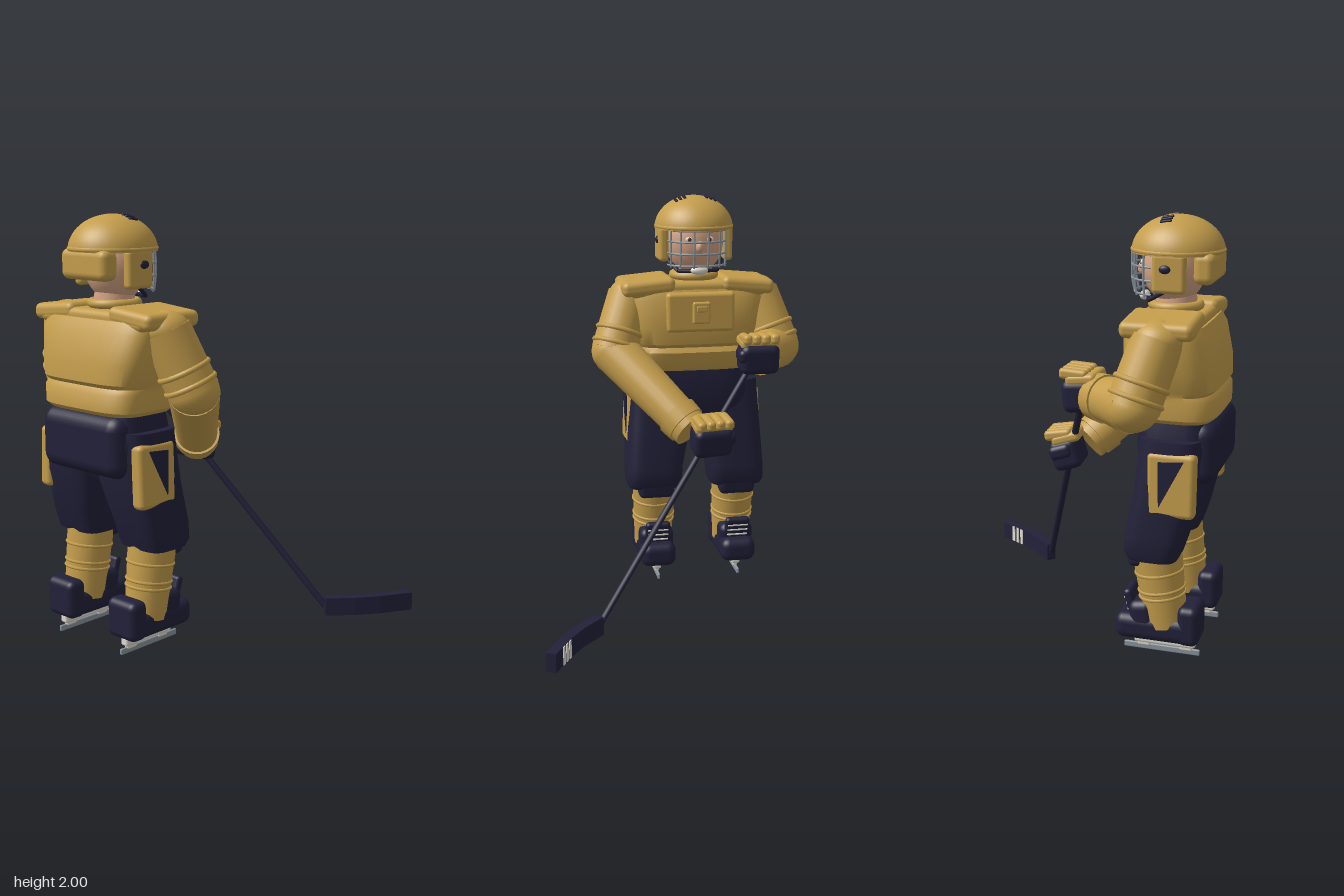
import * as THREE from 'three';
import { toCreasedNormals } from 'three/addons/utils/BufferGeometryUtils.js';
import { RoundedBoxGeometry } from 'three/addons/geometries/RoundedBoxGeometry.js';

const V = (x, y, z) => new THREE.Vector3(x, y, z);
const paint = (name, color, side = THREE.FrontSide) => {
  const m = new THREE.MeshStandardMaterial({ color, side });
  m.name = name;
  return m;
};

function add(parent, name, geo, mat, pos = [0, 0, 0], rot = [0, 0, 0]) {
  const m = new THREE.Mesh(geo, mat);
  m.name = name;
  m.position.set(...pos);
  m.rotation.set(...rot);
  parent.add(m);
  return m;
}
const box = (w, h, d, r = 0.03) => new RoundedBoxGeometry(w, h, d, 3, Math.min(r, w / 2.01, h / 2.01, d / 2.01));
const ball = (rx, ry, rz) => new THREE.SphereGeometry(1, 32, 20).scale(rx, ry, rz);

// Places a y-aligned geometry so that its axis runs from a to b
function along(parent, name, geo, mat, a, b, t = 0.5) {
  const m = add(parent, name, geo, mat, a.clone().lerp(b, t).toArray());
  m.quaternion.setFromUnitVectors(V(0, 1, 0), b.clone().sub(a).normalize());
  return m;
}
const limb = (parent, name, mat, a, b, ra, rb, n = 24) =>
  along(parent, name, new THREE.CylinderGeometry(rb, ra, a.distanceTo(b), n), mat, a, b);

// Rounded-rectangle sections [y, centreX, halfWidth, backZ, frontZ], from bottom to top
function loft(sections, power = 4, n = 40) {
  const pos = [], idx = [];
  const k = v => Math.sign(v) * Math.abs(v) ** (2 / power);
  for (const [y, cx, hw, zb, zf] of sections)
    for (let i = 0; i < n; i++) {
      const t = (i / n) * Math.PI * 2;
      pos.push(cx + hw * k(Math.cos(t)), y, (zb + zf) / 2 + (zb - zf) / 2 * k(Math.sin(t)));
    }
  const rows = sections.length, c0 = rows * n, c1 = c0 + 1, top = (rows - 1) * n;
  for (const [y, cx, , zb, zf] of [sections[0], sections[rows - 1]]) pos.push(cx, y, (zb + zf) / 2);
  for (let i = 0; i < n; i++) {
    const j = (i + 1) % n;
    for (let r = 0; r < rows - 1; r++) {
      const a = r * n + i, b = r * n + j;
      idx.push(a, a + n, b, b, a + n, b + n);
    }
    idx.push(c0, i, j, c1, top + j, top + i);
  }
  const g = new THREE.BufferGeometry();
  g.setAttribute('position', new THREE.Float32BufferAttribute(pos, 3));
  g.setIndex(idx);
  return toCreasedNormals(g, 0.7);
}

export function createModel() {
  const gold = paint('gold', 0xc59e4c), navy = paint('navy', 0x22213a);
  const skin = paint('skin', 0xd9a888), steel = paint('steel', 0x8b959e);
  const white = paint('offWhite', 0xe2dfd2), brown = paint('brown', 0x5a3a28);

  const root = new THREE.Group();
  root.name = 'hockeyPlayer';
  const body = new THREE.Group();
  body.name = 'player';
  body.position.x = -0.18;
  root.add(body);

  // Head and neck
  add(body, 'head', ball(0.15, 0.18, 0.145), skin, [0, 1.78, 0.46]);
  add(body, 'neck', new THREE.CylinderGeometry(0.09, 0.1, 0.15, 24), skin, [0, 1.6, 0.47]);
  add(body, 'nose', ball(0.02, 0.03, 0.025), skin, [0, 1.755, 0.315]);
  for (const s of [-1, 1]) {
    add(body, 'eye', ball(0.02, 0.014, 0.008), white, [s * 0.052, 1.79, 0.326]);
    add(body, 'pupil', ball(0.009, 0.011, 0.006), brown, [s * 0.052, 1.79, 0.319]);
  }
  add(body, 'collar', new THREE.TorusGeometry(0.105, 0.022, 10, 32).rotateX(Math.PI / 2), gold, [0, 1.6, 0.47]);

  // Helmet
  add(body, 'helmetShell', new THREE.SphereGeometry(1, 40, 14, 0, Math.PI * 2, 0, Math.PI / 2).scale(0.2, 0.165, 0.21),
    gold, [0, 1.835, 0.475]);
  add(body, 'helmetUnderside', new THREE.CircleGeometry(1, 40).scale(0.2, 0.21, 1).rotateX(Math.PI / 2), gold, [0, 1.836, 0.475]);
  add(body, 'helmetBrim', new THREE.TorusGeometry(0.19, 0.012, 8, 40).rotateX(Math.PI / 2).scale(1, 1, 1.06), gold, [0, 1.847, 0.475]);
  add(body, 'helmetBack', box(0.3, 0.14, 0.095, 0.035), gold, [0, 1.78, 0.62]);
  for (const s of [-1, 1]) {
    add(body, 'earGuard', box(0.05, 0.175, 0.15, 0.02), gold, [s * 0.165, 1.76, 0.475]);
    add(body, 'earHole', ball(0.012, 0.019, 0.026), navy, [s * 0.189, 1.78, 0.46]);
    limb(body, 'chinStrap', navy, V(s * 0.15, 1.69, 0.47), V(s * 0.1, 1.63, 0.37), 0.01, 0.01, 8);
    limb(body, 'chinStrap', navy, V(s * 0.1, 1.63, 0.37), V(0, 1.63, 0.34), 0.01, 0.01, 8);
    // Crown vents follow the shell's slope
    for (const k of [-1, 0, 1]) {
      const x = s * 0.077 + k * 0.021;
      add(body, 'vent', box(0.014, 0.012, 0.052, 0.004), navy,
        [x, 1.836 + 0.165 * Math.sqrt(1 - (x / 0.2) ** 2 - 0.0278), 0.44], [-0.13, 0, -x * 4.4]);
    }
  }
  add(body, 'chinCup', ball(0.045, 0.022, 0.022), white, [0, 1.635, 0.325]);

  // Face cage
  const cage = (a, y) => V(0.15 * Math.sin(a), y, 0.4 - (y < 1.68 ? 0.115 : 0.13) * Math.cos(a));
  const wire = pts => add(body, 'cageBar', new THREE.TubeGeometry(new THREE.CatmullRomCurve3(pts), 20, 0.0055, 6), steel);
  for (const y of [1.835, 1.78, 1.72, 1.66])
    wire([-1.5, -1, -0.5, 0, 0.5, 1, 1.5].map(a => cage(a, y)));
  for (const a of [-1.2, -0.72, -0.24, 0.24, 0.72, 1.2])
    wire([1.84, 1.78, 1.72, 1.65].map(y => cage(a, y)));

  // Jersey
  add(body, 'torso', loft([
    [1.12, 0, 0.28, 0.69, 0.34], [1.14, 0, 0.3, 0.71, 0.32], [1.22, 0, 0.305, 0.71, 0.3], [1.245, 0, 0.3, 0.69, 0.315],
    [1.265, 0, 0.31, 0.71, 0.29], [1.35, 0, 0.325, 0.705, 0.28], [1.49, 0, 0.355, 0.67, 0.295], [1.54, 0, 0.345, 0.64, 0.32]]), gold);
  add(body, 'yoke', box(0.7, 0.08, 0.31, 0.03), gold, [0, 1.54, 0.475]);
  add(body, 'chestPlate', box(0.35, 0.2, 0.06, 0.02), gold, [0, 1.43, 0.3]);
  add(body, 'chestTab', box(0.09, 0.11, 0.03, 0.01), gold, [0, 1.43, 0.268]);
  add(body, 'chestTabFlap', box(0.055, 0.03, 0.02, 0.006), gold, [0, 1.45, 0.256]);
  for (const s of [-1, 1])
    add(body, 'shoulderPad', box(0.27, 0.075, 0.325, 0.03), gold, [s * 0.255, 1.555, 0.47], [0, 0, -s * 0.09]);

  // Arms, each with elbow bands, a cuff and a glove
  const arms = [
    { s: 1, wrist: V(0.1, 0.89, 0.03), glove: [0.015, 0.89, -0.05], rot: [-0.3, 0.1, 0] },
    { s: -1, wrist: V(-0.28, 1.22, 0.19), glove: [-0.255, 1.255, 0.11], rot: [-0.1, 0, 0] }];
  for (const { s, wrist, glove, rot } of arms) {
    const arm = new THREE.Group();
    arm.name = s > 0 ? 'leftArm' : 'rightArm';
    body.add(arm);
    const shoulder = V(s * 0.33, 1.5, 0.47), elbow = V(s * 0.425, 1.225, 0.39);
    add(arm, 'shoulderCap', ball(0.11, 0.09, 0.115), gold, shoulder.toArray());
    limb(arm, 'upperArm', gold, shoulder, elbow, 0.115, 0.12);
    add(arm, 'elbow', ball(0.118, 0.11, 0.118), gold, elbow.toArray());
    for (const t of [0.65, 0.88])
      along(arm, 'elbowBand', new THREE.TorusGeometry(0.116, 0.013, 8, 32).rotateX(Math.PI / 2), gold, shoulder, elbow, t);
    limb(arm, 'forearm', gold, elbow, wrist, 0.118, 0.095);
    along(arm, 'cuff', new THREE.CylinderGeometry(0.105, 0.11, 0.07, 24), gold, elbow, wrist, 0.88);

    const g = new THREE.Group();
    g.name = 'glove';
    g.position.set(...glove);
    g.rotation.set(...rot);
    arm.add(g);
    add(g, 'palm', box(0.195, 0.15, 0.14, 0.035), navy, [0, -0.03, -0.005]);
    add(g, 'thumb', box(0.06, 0.07, 0.11, 0.025), navy, [-s * 0.08, -0.01, -0.02]);
    add(g, 'gloveBack', box(0.19, 0.05, 0.14, 0.02), gold, [0, 0.045, 0.02]);
    for (let i = 0; i < 4; i++)
      add(g, 'finger', box(0.043, 0.05, 0.13, 0.018), gold, [-0.07 + i * 0.0465, 0.07, -0.012], [0.15, 0, 0]);
  }

  // Padded trousers
  add(body, 'hips', loft([[0.8, 0, 0.2, 0.62, 0.4], [0.9, 0, 0.3, 0.68, 0.36], [1.0, 0, 0.3, 0.7, 0.34], [1.14, 0, 0.27, 0.68, 0.36]]), navy);
  add(body, 'seat', box(0.53, 0.29, 0.24, 0.07), navy, [0, 0.98, 0.6]);

  for (const s of [-1, 1]) {
    const leg = new THREE.Group();
    leg.name = s > 0 ? 'leftLeg' : 'rightLeg';
    body.add(leg);
    add(leg, 'thigh', loft([[0.49, s * 0.22, 0.135, 0.565, 0.34], [0.52, s * 0.22, 0.145, 0.575, 0.318],
      [0.6, s * 0.217, 0.147, 0.6, 0.32], [0.8, s * 0.188, 0.166, 0.65, 0.355], [1.05, s * 0.17, 0.165, 0.66, 0.38]]), navy);
    add(leg, 'kneePad', box(0.19, 0.16, 0.1, 0.03), navy, [s * 0.215, 0.52, 0.38], [-0.1, 0, 0]);

    // Hip panel with a painted wedge
    add(leg, 'hipPanel', box(0.075, 0.295, 0.22, 0.025), gold, [s * 0.315, 0.855, 0.54], [0, 0, s * 0.04]);
    const wedge = new THREE.Shape([[0.6, 0.975], [0.485, 0.965], [0.49, 0.755]].map(p => new THREE.Vector2(-p[0], p[1])));
    add(leg, 'hipWedge', new THREE.ExtrudeGeometry(wedge, { depth: 0.008, bevelEnabled: false }).rotateY(Math.PI / 2),
      navy, [s * 0.354 - 0.004, 0, 0], [0, 0, 0]);

    // Sock with ribs
    const knee = V(s * 0.215, 0.53, 0.45), ankle = V(s * 0.215, 0.15, 0.505);
    limb(leg, 'sock', gold, ankle, knee, 0.098, 0.116);
    for (const t of [0.38, 0.46, 0.68])
      along(leg, 'sockRib', new THREE.TorusGeometry(0.098 + t * 0.016, 0.008, 6, 32).rotateX(Math.PI / 2), gold, ankle, knee, t);

    // Skate
    const x = s * 0.215;
    add(leg, 'bootSole', box(0.185, 0.125, 0.395, 0.045), navy, [x, 0.138, 0.473]);
    add(leg, 'bootHeel', box(0.185, 0.19, 0.1, 0.035), navy, [x, 0.17, 0.62]);
    add(leg, 'bootAnkle', box(0.18, 0.17, 0.12, 0.04), navy, [x, 0.185, 0.405], [-0.15, 0, 0]);
    add(leg, 'bootTongue', box(0.13, 0.16, 0.04, 0.018), navy, [x, 0.235, 0.35], [-0.3, 0, 0]);
    for (let i = 0; i < 3; i++)
      add(leg, 'lace', box(0.11, 0.01, 0.01, 0.004), white, [x, 0.215 + i * 0.028, 0.336 - i * 0.008]);
    add(leg, 'bladeHolder', box(0.045, 0.045, 0.29, 0.012), white, [x, 0.06, 0.5]);
    add(leg, 'blade', box(0.014, 0.03, 0.36, 0.006), steel, [x, 0.015, 0.485]);
    for (const z of [0.4, 0.6]) add(leg, 'bladePost', box(0.025, 0.04, 0.06, 0.008), white, [x, 0.04, z]);
  }

  // Stick
  const stick = new THREE.Group();
  stick.name = 'stick';
  root.add(stick);
  limb(stick, 'shaft', navy, V(-0.44, 1.25, 0.12), V(0.435, 0.065, -0.35), 0.016, 0.016, 8);
  const spine = [[0.435, -0.35], [0.535, -0.455], [0.612, -0.56], [0.695, -0.71]].map(p => new THREE.Vector2(p[0], -p[1]));
  const side = d => spine.map((p, i) => {
    const t = spine[Math.min(i + 1, 3)].clone().sub(spine[Math.max(i - 1, 0)]).normalize();
    return new THREE.Vector2(p.x - t.y * d, p.y + t.x * d);
  });
  const outline = new THREE.Shape([...side(-0.025), ...side(0.025).reverse()]);
  add(stick, 'stickBlade', new THREE.ExtrudeGeometry(outline, { depth: 0.09, bevelEnabled: false }).rotateX(-Math.PI / 2),
    navy, [0, 0.022, 0]);
  // Tape stripes on the striking face
  const face = side(0.026);
  for (const t of [0.08, 0.28, 0.48]) {
    const p = face[2].clone().lerp(face[3], t), d = face[3].clone().sub(face[2]);
    add(stick, 'tapeStripe', new THREE.BoxGeometry(0.02, 0.086, 0.006), white, [p.x, 0.067, -p.y], [0, Math.atan2(d.y, d.x), 0]);
  }
  return root;
}
